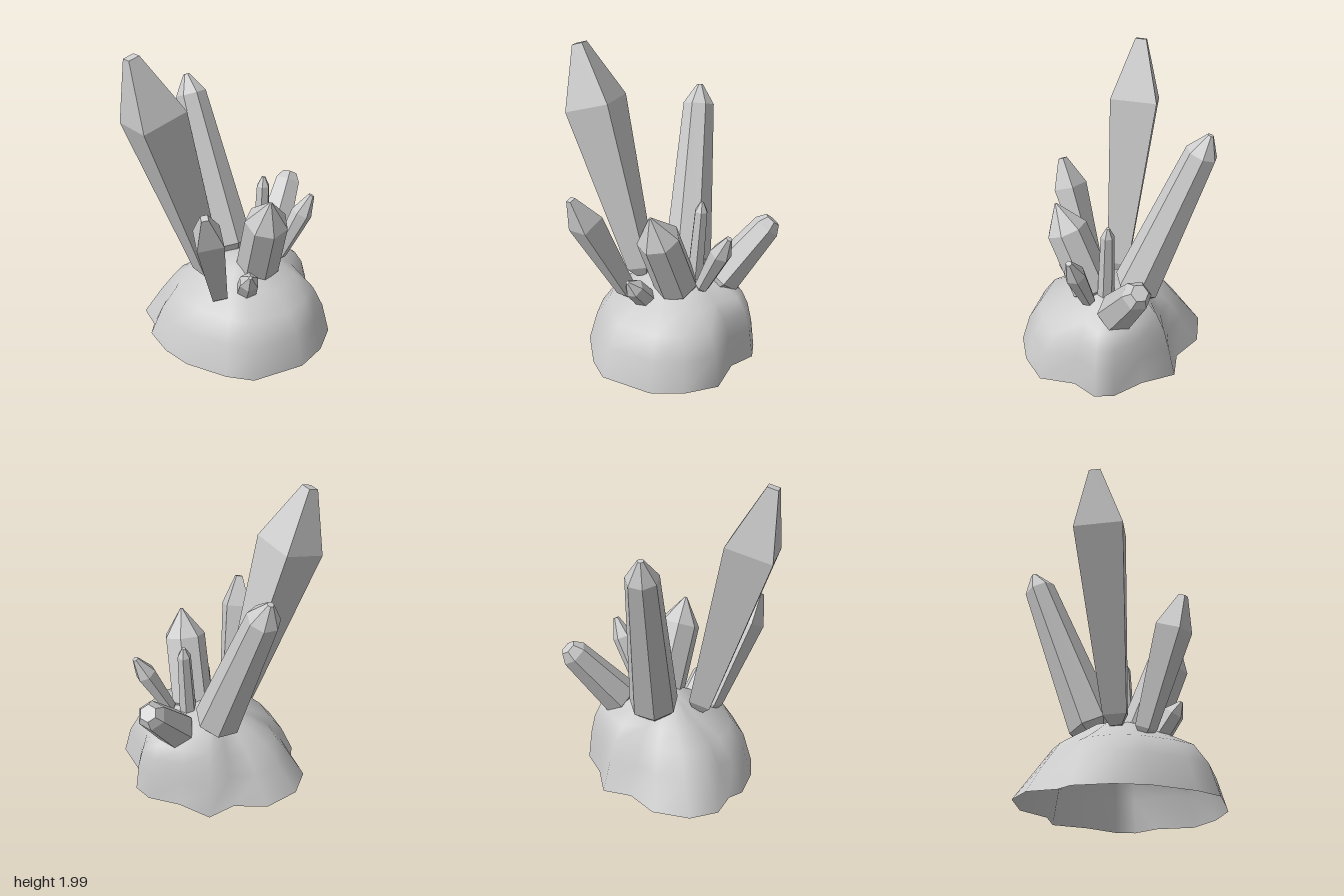
import * as THREE from 'three';

const rockMaterial = new THREE.MeshStandardMaterial({ color: 0xcccccc, side: THREE.DoubleSide });
const crystalMaterial = new THREE.MeshStandardMaterial({ color: 0xcccccc, flatShading: true });

// Faceted prism: blunt root, tapered shaft from base to shoulder, then a point.
// "corner" is the direction in which one of its long edges faces.
function crystal(name, { base, tip, shoulder, radii, sides, corner }) {
  const from = new THREE.Vector3(...base);
  const axis = new THREE.Vector3(...tip).sub(from);
  const length = axis.length();
  axis.normalize();
  const [rBase, rShoulder, rTip] = radii;
  const root = -0.65 * rBase;
  const profile = [
    [0, root], [rBase * 0.5, root], [rBase, 0],
    [rShoulder, length * shoulder], [rTip, length], [0, length],
  ].map(([r, y]) => new THREE.Vector2(r, y));

  const z = new THREE.Vector3(...corner);
  z.addScaledVector(axis, -z.dot(axis)).normalize();
  const x = new THREE.Vector3().crossVectors(axis, z);

  const mesh = new THREE.Mesh(new THREE.LatheGeometry(profile, sides), crystalMaterial);
  mesh.quaternion.setFromRotationMatrix(new THREE.Matrix4().makeBasis(x, axis, z));
  mesh.position.copy(from);
  mesh.name = name;
  return mesh;
}

// Hollow mound with an irregular footprint; its slope differs on each side
function rockMound() {
  const outline = [
    [-0.13, -0.64], [0.1, -0.57], [0.24, -0.39], [0.42, -0.33], [0.46, -0.1], [0.545, 0.1],
    [0.53, 0.23], [0.39, 0.34], [0.3, 0.56], [0.09, 0.635], [-0.13, 0.64], [-0.44, 0.49],
    [-0.52, 0.33], [-0.58, 0.05], [-0.56, -0.15], [-0.48, -0.36], [-0.39, -0.42], [-0.31, -0.58],
  ];
  const heights = [0, 0.2, 0.33, 0.42, 0.51];
  const front = [1, 0.91, 0.79, 0.56, 0.3];
  const back = [1, 0.78, 0.64, 0.45, 0.25];
  const right = [1, 0.96, 0.91, 0.84, 0.62];
  const left = [1, 0.9, 0.74, 0.48, 0.25];
  const n = outline.length;
  const positions = [];
  const index = [];

  heights.forEach((y, i) => {
    for (const [x, z] of outline) {
      const r2 = x * x + z * z;
      const s = ((x > 0 ? right : left)[i] * x * x + (z > 0 ? front : back)[i] * z * z) / r2;
      positions.push(x * s, y, z * s);
    }
  });
  positions.push(0.02, 0.58, 0.06);

  const apex = heights.length * n;
  for (let i = 0; i < heights.length; i++) {
    for (let j = 0; j < n; j++) {
      const a = i * n + j;
      const b = i * n + (j + 1) % n;
      if (i === heights.length - 1) index.push(a, apex, b);
      else index.push(a, a + n, b, b, a + n, b + n);
    }
  }
  const geometry = new THREE.BufferGeometry();
  geometry.setAttribute('position', new THREE.Float32BufferAttribute(positions, 3));
  geometry.setIndex(index);
  geometry.computeVertexNormals();
  const mesh = new THREE.Mesh(geometry, rockMaterial);
  mesh.name = 'rockMound';
  return mesh;
}

export function createModel() {
  const model = new THREE.Group();
  model.name = 'crystalCluster';
  model.add(rockMound());

  const crystals = {
    tallLeftCrystal: {
      base: [-0.225, 0.52, -0.065], tip: [-0.6, 1.98, -0.275], shoulder: 0.745,
      radii: [0.1, 0.212, 0.05], sides: 4, corner: [0.09, 0.08, 0.185],
    },
    tallBackCrystal: {
      base: [0.09, 0.55, -0.14], tip: [0.155, 1.635, -0.55], shoulder: 0.89,
      radii: [0.16, 0.103, 0.02], sides: 7, corner: [0, 0, -1],
    },
    leftCrystal: {
      base: [-0.31, 0.42, 0.1], tip: [-0.62, 1.15, 0.26], shoulder: 0.75,
      radii: [0.068, 0.115, 0.03], sides: 4, corner: [0.2, 0.11, 0],
    },
    rightCrystal: {
      base: [0.315, 0.5, 0.045], tip: [0.64, 0.89, -0.035], shoulder: 0.88,
      radii: [0.13, 0.093, 0.055], sides: 6, corner: [0, 0, 1],
    },
    broadFrontCrystal: {
      base: [0.02, 0.51, 0.16], tip: [-0.13, 1.085, 0.365], shoulder: 0.71,
      radii: [0.143, 0.138, 0.008], sides: 7, corner: [0.3, 0, 1],
    },
    smallFrontCrystal: {
      base: [-0.175, 0.43, 0.22], tip: [-0.28, 0.615, 0.33], shoulder: 0.65,
      radii: [0.07, 0.065, 0.012], sides: 6, corner: [0, 0, 1],
    },
    thinCentreCrystal: {
      base: [0.14, 0.5, 0.085], tip: [0.18, 1.06, 0.077], shoulder: 0.89,
      radii: [0.058, 0.044, 0.012], sides: 6, corner: [0, 0, 1],
    },
    smallRightCrystal: {
      base: [0.19, 0.53, 0.21], tip: [0.347, 0.945, 0.345], shoulder: 0.7,
      radii: [0.048, 0.07, 0.02], sides: 6, corner: [1, 0, 0],
    },
  };
  for (const [name, spec] of Object.entries(crystals)) model.add(crystal(name, spec));
  return model;
}
